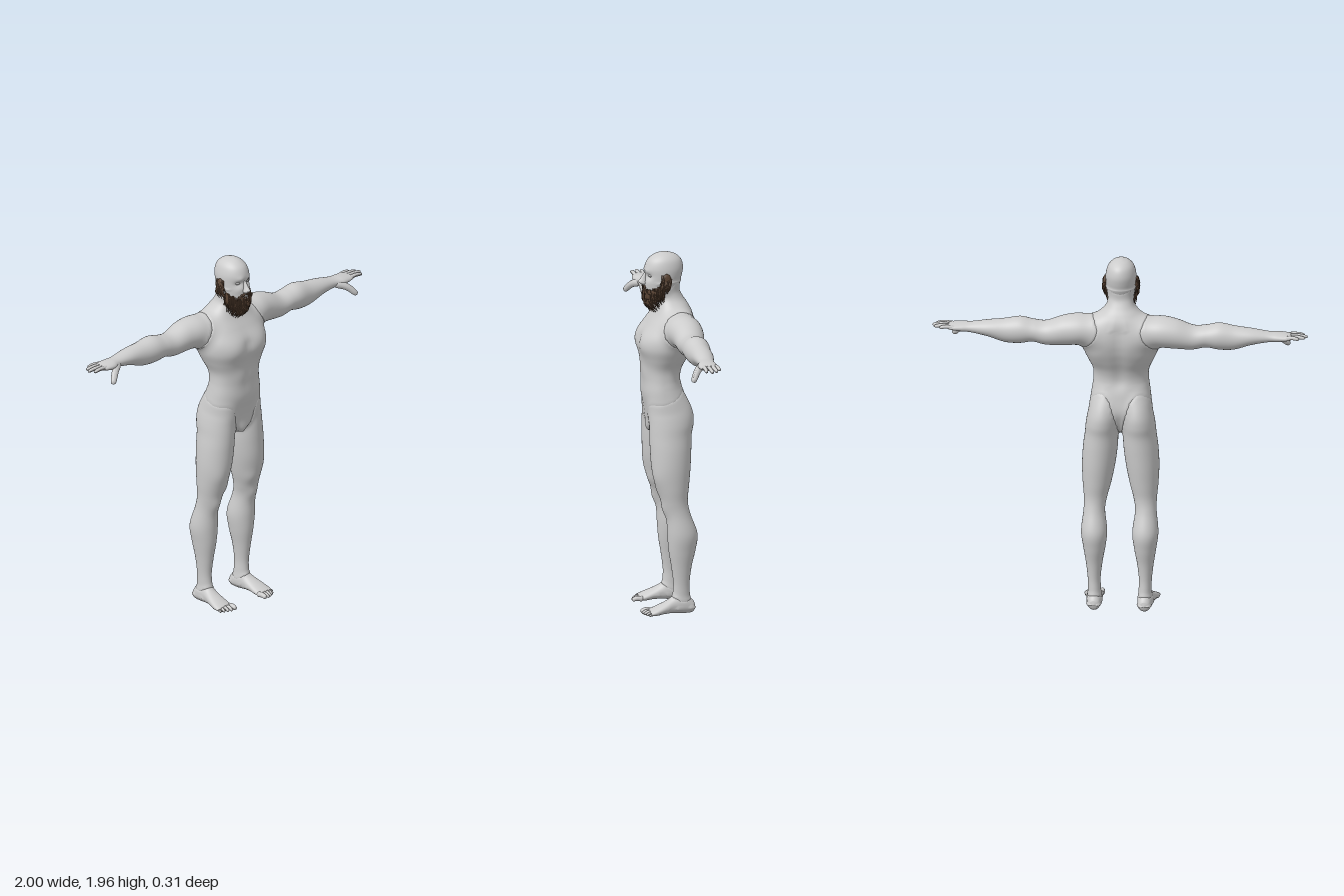
import * as THREE from 'three';
import { mergeGeometries } from 'three/addons/utils/BufferGeometryUtils.js';

const skin = new THREE.MeshStandardMaterial({ color: 0xcccccc });
skin.name = 'grey skin';
const hair = new THREE.MeshStandardMaterial({ color: 0x5a4434, side: THREE.DoubleSide });
hair.name = 'brown hair';

// Smooth value between section numbers
function spline(rows, k, s) {
  const i = Math.min(Math.floor(s), rows.length - 2), t = s - i;
  const at = (j) => rows[Math.max(0, Math.min(rows.length - 1, j))][k];
  const [a, b, c, d] = [at(i - 1), at(i), at(i + 1), at(i + 2)];
  return b + 0.5 * t * (c - a + t * (2 * a - 5 * b + 4 * c - d + t * (3 * (b - c) + d - a)));
}

// Closed loft, rows in rising order: [position on axis, centre, half width, far side, near side].
// bumps: [x, y, zSign, radius, push] swell or dent the front (+1) or back (-1), mirrored in x.
function loft(axis, rows, { n = 32, sub = 6, power = 2, bumps = [] } = {}) {
  const pos = [], idx = [], steps = (rows.length - 1) * sub, rings = steps + 3;
  for (let r = 0; r < rings; r++) {
    const s = Math.max(0, Math.min(steps, r - 1)) / sub;
    const [t, c, w, f, b] = [0, 1, 2, 3, 4].map((k) => spline(rows, k, s));
    const shrink = r === 0 || r === rings - 1 ? 0.001 : 1;
    for (let j = 0; j < n; j++) {
      const a = (j / n) * Math.PI * 2, ca = Math.cos(a), sa = Math.sin(a);
      const u = c + shrink * w * Math.sign(ca) * Math.abs(ca) ** (2 / power);
      const side = Math.sign(sa) * Math.abs(sa) ** (2 / power);
      const v = (f + b) / 2 + (shrink * side * (f - b)) / 2;
      const p = axis === 'x' ? [t, u, v] : axis === 'y' ? [u, t, v] : [u, v, t];
      for (const [x, y, sign, rad, push] of bumps) {
        if (sign * side <= 0) continue;
        const d = (Math.abs(p[0]) - x) ** 2 + (p[1] - y) ** 2;
        p[2] += sign * push * Math.exp(-d / (rad * rad)) * Math.min(1, Math.abs(side) * 1.5);
      }
      pos.push(...p);
      if (r < rings - 1) {
        const k = (j + 1) % n, A = r * n + j, B = r * n + k, C = A + n, D = B + n;
        if (axis === 'y') idx.push(A, C, B, B, C, D);
        else idx.push(A, B, C, B, D, C);
      }
    }
  }
  const g = new THREE.BufferGeometry();
  g.setAttribute('position', new THREE.Float32BufferAttribute(pos, 3));
  g.setIndex(idx);
  g.computeVertexNormals();
  return g;
}

// Fillet where two parts meet: both surfaces swell toward their smooth union
function fillet(a, b, k) {
  const swell = (g, other) => {
    const P = g.attributes.position, N = g.attributes.normal;
    const Q = other.attributes.position, M = other.attributes.normal;
    const p = new THREE.Vector3(), n = new THREE.Vector3(), q = new THREE.Vector3(), m = new THREE.Vector3();
    return Array.from({ length: P.count }, (_, i) => {
      p.fromBufferAttribute(P, i);
      n.fromBufferAttribute(N, i);
      const s = p.x < 0 ? -1 : 1;
      p.x *= s;
      n.x *= s;
      let best = 4 * k * k, near = -1;
      for (let j = 0; j < Q.count; j++) {
        const d2 = (Q.getX(j) - p.x) ** 2 + (Q.getY(j) - p.y) ** 2 + (Q.getZ(j) - p.z) ** 2;
        if (d2 < best) [best, near] = [d2, j];
      }
      if (near < 0) return [0, 0, 0];
      q.fromBufferAttribute(Q, near);
      m.fromBufferAttribute(M, near);
      const d = p.sub(q).dot(m), h = 0.5 - d / (2 * k);
      if (Math.abs(d) >= k) return [0, 0, 0];
      n.lerp(m, h);
      n.multiplyScalar((k - Math.abs(d)) ** 2 / (4 * k) / Math.max(0.4, n.lengthSq()));
      return [n.x * s, n.y, n.z];
    });
  };
  const moves = [swell(a, b), swell(b, a)];
  [a, b].forEach((g, i) => {
    const P = g.attributes.position;
    moves[i].forEach(([x, y, z], v) => P.setXYZ(v, P.getX(v) + x, P.getY(v) + y, P.getZ(v) + z));
    g.computeVertexNormals();
  });
}

// Tube along points whose radius follows a rule
function taper(points, radius, seg, sides) {
  const curve = new THREE.CatmullRomCurve3(points.map((p) => new THREE.Vector3(...p)));
  const g = new THREE.TubeGeometry(curve, seg, 1, sides);
  const p = g.attributes.position, v = new THREE.Vector3();
  for (let i = 0; i < p.count; i++) {
    const t = Math.floor(i / (sides + 1)) / seg, c = curve.getPointAt(t);
    v.fromBufferAttribute(p, i).sub(c).multiplyScalar(radius(t)).add(c);
    p.setXYZ(i, v.x, v.y, v.z);
  }
  g.computeVertexNormals();
  return g.deleteAttribute('uv');
}
// Finger or toe, rounded at both ends
const digit = (points, r) =>
  taper(points, (t) => r * (1 - 0.3 * t) * Math.sqrt(Math.max(1e-6, 1 - (2 * t - 1) ** 8)), 20, 12);

const ellipsoid = (x, y, z, rx, ry, rz) =>
  new THREE.SphereGeometry(1, 20, 14).scale(rx, ry, rz).translate(x, y, z);

function mirrored(geo) {
  const g = geo.clone().scale(-1, 1, 1), i = g.index.array;
  for (let k = 0; k < i.length; k += 3) [i[k], i[k + 1]] = [i[k + 1], i[k]];
  g.computeVertexNormals();
  return g;
}

export function createModel() {
  const model = new THREE.Group();
  model.name = 'bearded figure';
  const add = (name, geo, mat = skin) => {
    const m = new THREE.Mesh(geo, mat);
    m.name = name;
    model.add(m);
  };
  const pair = (name, geo, mat) => {
    add('left' + name, geo, mat);
    add('right' + name, mirrored(geo), mat);
  };

  // Torso, from crotch up to the neck, with a groove down the spine
  const spine = [1.28, 1.33, 1.38, 1.43, 1.48, 1.53, 1.58].map((y) => [0, y, -1, 0.035, -0.008]);
  const torso = loft('y', [
    [0.985, 0, 0.02, 0.095, -0.02], [1.01, 0, 0.05, 0.106, -0.05], [1.06, 0, 0.11, 0.106, -0.08],
    [1.12, 0, 0.148, 0.113, -0.1], [1.2, 0, 0.156, 0.126, -0.09], [1.28, 0, 0.147, 0.122, -0.075],
    [1.34, 0, 0.15, 0.125, -0.085], [1.4, 0, 0.176, 0.132, -0.112], [1.46, 0, 0.2, 0.14, -0.136],
    [1.52, 0, 0.203, 0.13, -0.148], [1.58, 0, 0.187, 0.096, -0.148], [1.635, 0, 0.15, 0.062, -0.138],
    [1.675, 0, 0.107, 0.048, -0.12], [1.71, 0, 0.076, 0.045, -0.097], [1.75, 0, 0.066, 0.045, -0.077],
    [1.8, 0, 0.064, 0.04, -0.07],
  ], { n: 72, power: 2.3, bumps: [...spine,
    [0.095, 1.48, 1, 0.075, 0.016], [0, 1.5, 1, 0.03, -0.006], [0.04, 1.31, 1, 0.05, 0.006],
    [0.1, 1.53, -1, 0.06, 0.008], [0.13, 1.43, -1, 0.06, 0.006],
  ] });

  // Legs, with the buttocks in their upper sections
  const leg = loft('y', [
    [0.04, 0.134, 0.03, -0.02, -0.104], [0.1, 0.134, 0.034, -0.014, -0.106], [0.17, 0.136, 0.034, -0.017, -0.104],
    [0.26, 0.136, 0.044, -0.006, -0.115], [0.35, 0.135, 0.059, 0.008, -0.136], [0.44, 0.136, 0.069, 0.015, -0.146],
    [0.55, 0.137, 0.057, 0.022, -0.108], [0.62, 0.132, 0.062, 0.045, -0.095], [0.7, 0.125, 0.076, 0.071, -0.102],
    [0.8, 0.117, 0.088, 0.095, -0.112], [0.9, 0.108, 0.092, 0.102, -0.118], [0.98, 0.101, 0.089, 0.104, -0.122],
    [1.04, 0.097, 0.087, 0.104, -0.133], [1.1, 0.092, 0.081, 0.103, -0.13], [1.17, 0.086, 0.068, 0.092, -0.102],
    [1.24, 0.082, 0.035, 0.05, -0.05],
  ], { n: 40, bumps: [[0.133, 0.575, 1, 0.04, 0.014], [0.16, 0.75, 1, 0.05, 0.006], [0.09, 0.68, 1, 0.04, 0.008]] });

  // Arms, held straight out, running into the palm
  const arm = loft('x', [
    [0.06, 1.575, 0.035, -0.02, -0.1], [0.13, 1.575, 0.066, 0.01, -0.136], [0.21, 1.578, 0.083, 0.034, -0.152],
    [0.3, 1.57, 0.08, 0.02, -0.148], [0.39, 1.552, 0.065, 0.012, -0.133], [0.46, 1.561, 0.06, 0.01, -0.129],
    [0.53, 1.563, 0.072, 0.01, -0.132], [0.61, 1.558, 0.064, 0, -0.124], [0.7, 1.567, 0.044, -0.008, -0.117],
    [0.79, 1.568, 0.028, -0.016, -0.1], [0.84, 1.568, 0.025, -0.002, -0.102], [0.88, 1.569, 0.02, -0.004, -0.104],
    [0.91, 1.57, 0.014, -0.012, -0.1],
  ], { n: 40 });

  // Head with brow ridge and eye hollows
  const head = loft('y', [
    [1.695, 0, 0.03, 0.09, 0.02], [1.72, 0, 0.052, 0.11, -0.02], [1.76, 0, 0.069, 0.114, -0.058],
    [1.8, 0, 0.077, 0.112, -0.078], [1.84, 0, 0.081, 0.109, -0.091], [1.88, 0, 0.08, 0.11, -0.096],
    [1.92, 0, 0.068, 0.094, -0.084], [1.945, 0, 0.046, 0.064, -0.055], [1.957, 0, 0.02, 0.034, -0.02],
    [1.96, 0, 0.004, 0.01, 0],
  ], { n: 48, bumps: [[0.033, 1.838, 1, 0.018, -0.014], [0.03, 1.862, 1, 0.016, 0.007], [0.045, 1.8, 1, 0.02, 0.004]] });

  // Feet
  const foot = loft('z', [
    [-0.13, 0.134, 0.02, 0.06, 0.02], [-0.115, 0.134, 0.032, 0.075, 0.006], [-0.07, 0.135, 0.036, 0.09, 0.003],
    [-0.015, 0.139, 0.04, 0.092, 0.008], [0.035, 0.145, 0.047, 0.07, 0.008], [0.08, 0.149, 0.052, 0.05, 0.003],
    [0.115, 0.15, 0.05, 0.034, 0.004],
  ]);

  fillet(torso, leg, 0.03);
  fillet(torso, arm, 0.06);
  fillet(torso, head, 0.025);
  fillet(leg, foot, 0.03);
  add('torso', torso);
  add('head', head);
  pair('Leg', leg);
  pair('Arm', arm);
  pair('Foot', foot);

  // Toes, fingers and thumb
  const toes = [[0.11, 0.155, 0.016], [0.134, 0.153, 0.011], [0.154, 0.146, 0.011], [0.173, 0.136, 0.01], [0.19, 0.124, 0.009]]
    .map(([x, z, r]) => digit([[x, 0.02, z - 0.06], [x, 0.024, z - 0.025], [x + 0.001, r, z]], r));
  pair('Toes', mergeGeometries(toes));
  const fingers = [[0.957, -0.098, -0.088], [0.988, -0.077, -0.068], [1, -0.051, -0.047], [0.982, -0.022, -0.026]]
    .map(([x, z, z0]) => digit([[0.865, 1.569, z0], [(0.89 + x) / 2, 1.576, (z + z0) / 2], [x, 1.57, z]], 0.0128));
  fingers.push(digit([[0.79, 1.565, -0.04], [0.85, 1.54, 0.002], [0.895, 1.493, 0.034]], 0.022));
  pair('Fingers', mergeGeometries(fingers));

  // Face
  add('nose', loft('y', [
    [1.785, 0, 0.01, 0.125, 0.09], [1.795, 0, 0.018, 0.138, 0.09], [1.804, 0, 0.016, 0.145, 0.09],
    [1.822, 0, 0.011, 0.132, 0.09], [1.845, 0, 0.009, 0.116, 0.085], [1.862, 0, 0.008, 0.108, 0.085],
  ], { n: 20 }));
  pair('Eye', ellipsoid(0.033, 1.84, 0.085, 0.014, 0.007, 0.012));
  add('lowerLip', ellipsoid(0, 1.757, 0.114, 0.02, 0.006, 0.008));
  pair('Ear', ellipsoid(0.084, 1.825, 0.008, 0.012, 0.034, 0.024), hair);

  // Beard: seeded strands around the jaw, over the ears and on the lip
  let seed = 7;
  const rnd = () => (seed = (seed * 16807) % 2147483647) / 2147483647;
  const strands = [];
  const strand = (pts, r) => strands.push(taper(pts, (t) => r * (1.02 - t ** 2), 5, 5));
  for (let i = 0; i < 240; i++) {
    const a = (i / 239 - 0.5) * 3.2, k = Math.abs(a) / 1.6, drop = rnd();
    const y = 1.768 + 0.035 * k * k - 0.06 * drop;
    const x = Math.sin(a) * (0.081 - 0.02 * drop), z = 0.02 + Math.cos(a) * (0.098 - 0.012 * drop);
    const tip = 1.63 + 0.07 * k ** 3 + 0.065 * rnd();
    const tx = x * (0.82 + 0.15 * rnd()), tz = z - 0.04 * (1 - k) - 0.015 * rnd();
    strand([[x, y, z], [x * 1.04, (y + tip) / 2, z + 0.003], [tx, Math.min(tip, y - 0.03), tz]], 0.0048);
  }
  for (const s of [-1, 1]) {
    for (let i = 0; i < 45; i++) {
      const z = -0.018 + 0.05 * rnd(), y = 1.855 - 0.05 * rnd();
      strand([[s * 0.084, y, z], [s * (0.09 + 0.008 * rnd()), y - 0.025, z + 0.004],
        [s * 0.084, y - 0.06, z + 0.018]], 0.005);
    }
    for (let i = 0; i < 16; i++) {
      const x = 0.004 + 0.028 * rnd(), y = 1.782 - 0.006 * rnd();
      strand([[s * x, y, 0.114], [s * (x + 0.014), y - 0.007, 0.115], [s * (x + 0.026), y - 0.035, 0.1]], 0.0045);
    }
  }
  add('beard', mergeGeometries(strands), hair);
  return model;
}
